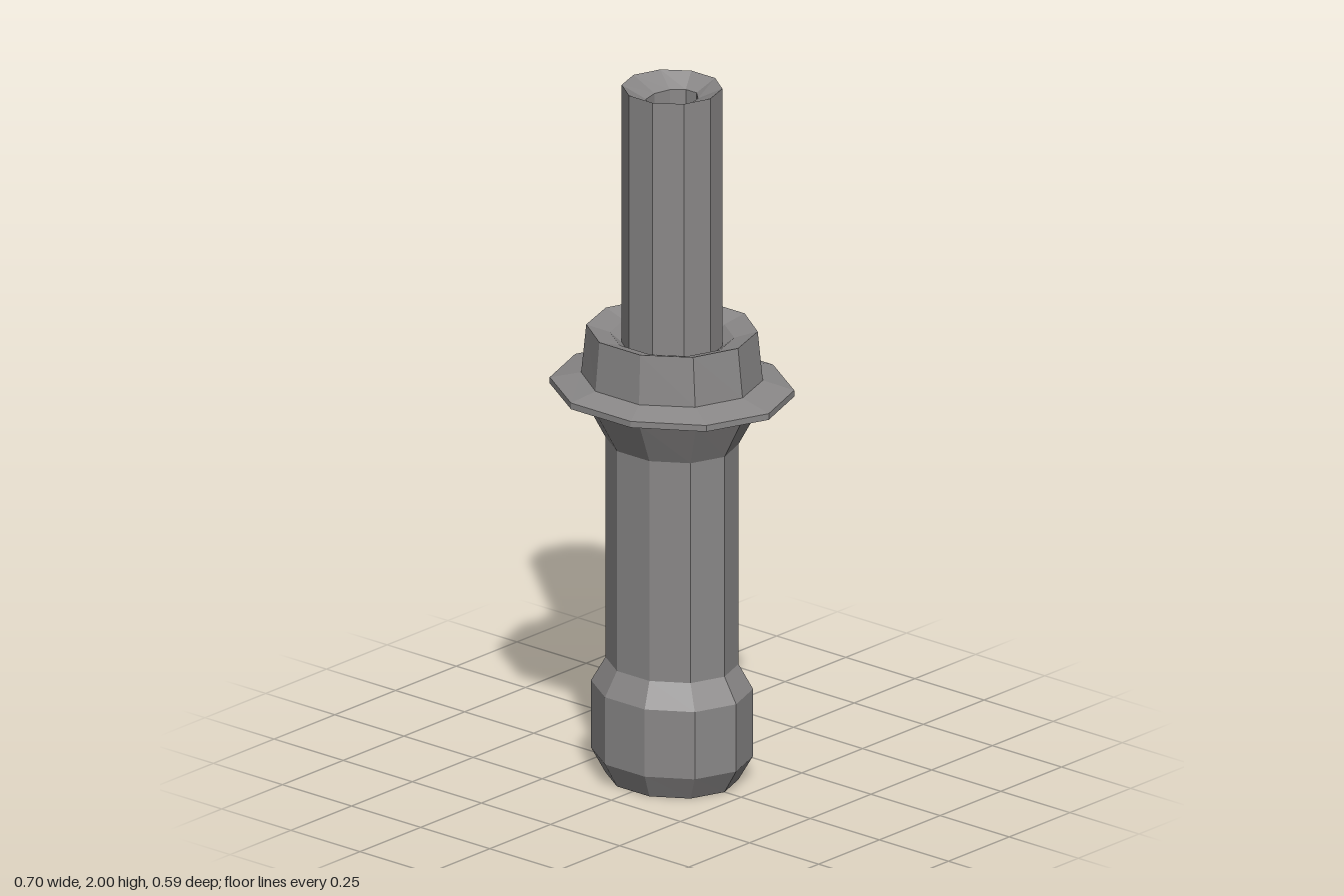
import * as THREE from 'three';

// Ten-sided shell from rings of [x radius, z radius, height], bottom to top
function shell(name, rings, material) {
  const geometry = new THREE.LatheGeometry(
    rings.map(([rx, , y]) => new THREE.Vector2(rx, y)), 10, Math.PI / 2);
  const pos = geometry.attributes.position;
  for (let i = 0; i < pos.count; i++) {
    const [rx, rz] = rings[i % rings.length];
    if (rx > 0) pos.setZ(i, pos.getZ(i) * rz / rx);
  }
  geometry.computeVertexNormals();
  const mesh = new THREE.Mesh(geometry, material);
  mesh.name = name;
  return mesh;
}

export function createModel() {
  const group = new THREE.Group();
  group.name = 'flangedHandle';
  const metal = new THREE.MeshStandardMaterial({ color: 0x8a8888, flatShading: true });
  metal.name = 'grey metal';

  // Grip with a swollen pommel, flaring out towards the flange
  group.add(shell('grip', [
    [0, 0, 0],
    [0.19, 0.168, 0],
    [0.232, 0.204, 0.07],
    [0.232, 0.204, 0.265],
    [0.19, 0.168, 0.335],
    [0.19, 0.168, 0.973],
    [0.258, 0.237, 1.1],
  ], metal));

  // Thin flange with a sharp rim
  group.add(shell('flange', [
    [0.258, 0.237, 1.1],
    [0.35, 0.308, 1.12],
    [0.35, 0.308, 1.138],
    [0.255, 0.237, 1.16],
  ], metal));

  // Tapered collar, dished inside down to the tube
  group.add(shell('collar', [
    [0.255, 0.237, 1.16],
    [0.239, 0.226, 1.3],
    [0.175, 0.162, 1.28],
    [0.136, 0.13, 1.25],
  ], metal));

  // Tube with a countersunk mouth and a deep bore
  group.add(shell('tube', [
    [0.139, 0.135, 1.24],
    [0.139, 0.135, 2],
    [0.063, 0.083, 1.965],
    [0.063, 0.083, 1.3],
    [0, 0, 1.3],
  ], metal));

  return group;
}
